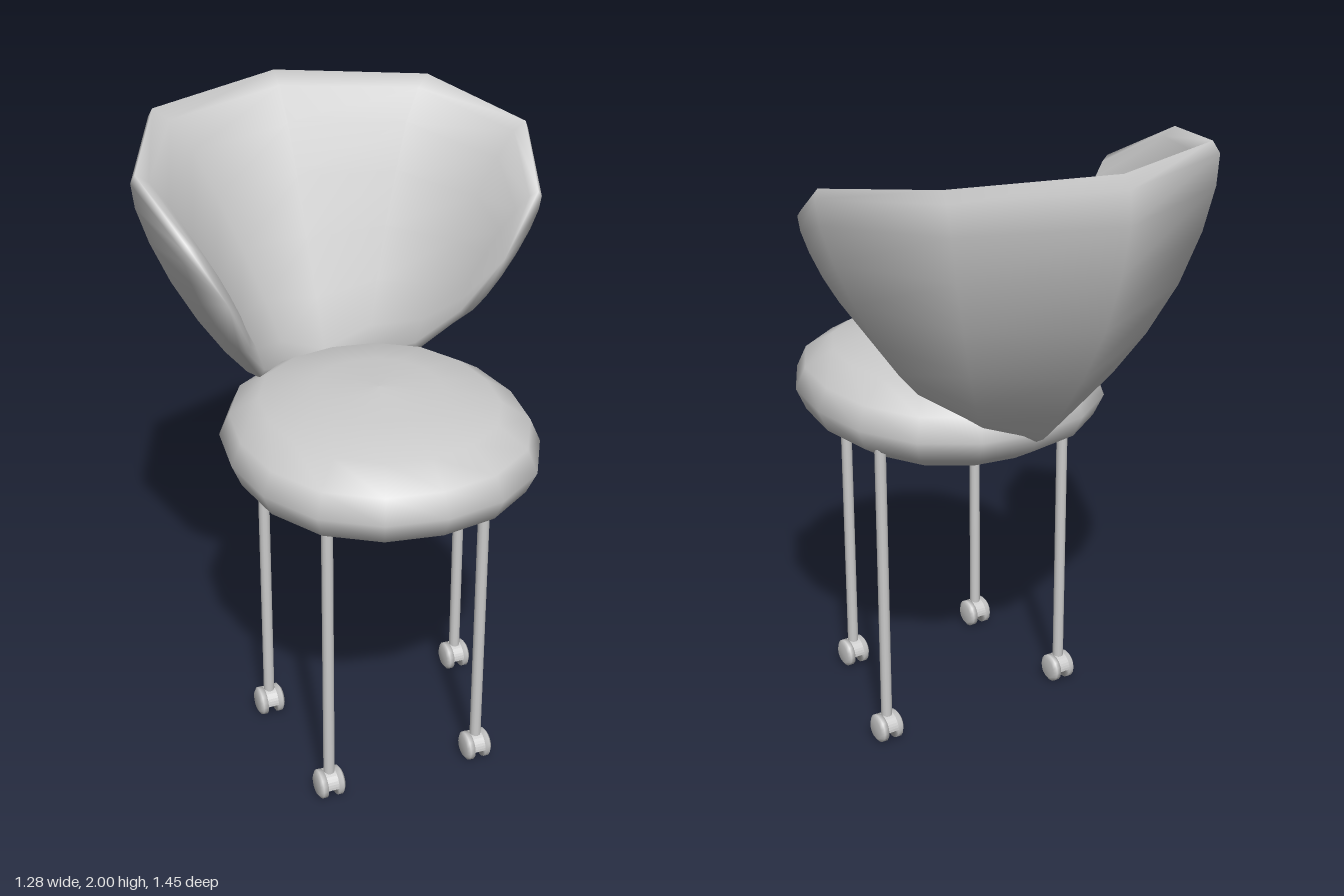
import * as THREE from 'three';
import { mergeVertices } from 'three/addons/utils/BufferGeometryUtils.js';

const material = new THREE.MeshStandardMaterial({ color: 0xcccccc });

function part(name, geometry, parent) {
  const mesh = new THREE.Mesh(geometry, material);
  mesh.name = name;
  parent.add(mesh);
  return mesh;
}

const toPoints = (pairs) => pairs.map(([x, y]) => new THREE.Vector2(x, y));

// Linear interpolation in rows of [y, value, ...]
function lookup(rows, y, column) {
  let i = 0;
  while (i < rows.length - 2 && y > rows[i + 1][0]) i++;
  const a = rows[i], b = rows[i + 1];
  return THREE.MathUtils.mapLinear(y, a[0], b[0], a[column], b[column]);
}

// Height, bend radius and spine z of the backrest
const BEND = [
  [1.06, 0.2, -0.28], [1.21, 0.27, -0.345], [1.38, 0.37, -0.44], [1.59, 0.48, -0.545],
  [1.79, 0.575, -0.62], [1.92, 0.63, -0.668], [2.0, 0.7, -0.69],
];

// Backrest columns from spine to wing tip: bend angle in degrees, top, bottom, padding
const COLUMNS = [
  [0, 2.0, 1.06, 0.115], [42, 1.985, 1.135, 0.1], [81, 1.925, 1.21, 0.07],
  [105.5, 1.79, 1.38, 0.05], [113, 1.59, 1.59, 0],
];

// A sphere with its poles at the wing tips; each meridian ring becomes a padded column
function backrestGeometry() {
  const geometry = new THREE.SphereGeometry(1, 16, 8).rotateZ(-Math.PI / 2);
  geometry.deleteAttribute('uv');
  geometry.deleteAttribute('normal');
  const pos = geometry.attributes.position;
  for (let i = 0; i < pos.count; i++) {
    const side = Math.asin(THREE.MathUtils.clamp(pos.getX(i), -1, 1));
    const [degrees, top, bottom, padding] = COLUMNS[Math.round(Math.abs(side) / (Math.PI / 8))];
    const ring = Math.hypot(pos.getY(i), pos.getZ(i)) || 1;
    const y = (top + bottom) / 2 + (top - bottom) / 2 * pos.getY(i) / ring;
    const angle = Math.sign(side) * THREE.MathUtils.degToRad(degrees);
    const radius = lookup(BEND, y, 1);
    const axisZ = lookup(BEND, y, 2) + radius;
    const r = radius - padding * pos.getZ(i) / ring;
    pos.setXYZ(i, r * Math.sin(angle), y, axisZ - r * Math.cos(angle));
  }
  const merged = mergeVertices(geometry, 1e-4);
  merged.computeVertexNormals();
  return merged;
}

// Oval cushion with flat faces, a rounded edge and slightly full corners
function seatGeometry() {
  const upper = [[1, 0], [0.935, 0.072], [0.75, 0.13], [0.41, 0.164], [0, 0.176]];
  const lower = upper.slice(1).reverse().map(([r, y]) => [r, -y]);
  const geometry = new THREE.LatheGeometry(toPoints([...lower, ...upper]), 16);
  const pos = geometry.attributes.position;
  for (let i = 0; i < pos.count; i++) {
    const x = pos.getX(i), z = pos.getZ(i);
    const full = 1 + 0.035 * Math.sin(2 * Math.atan2(x, z)) ** 2;
    pos.setXYZ(i, x * full, pos.getY(i), z * full);
  }
  return geometry.scale(0.475, 1, 0.517);
}

// Twin wheels: two rounded discs joined by a narrow hub, turned about x
function wheelGeometry() {
  const profile = toPoints([
    [0, -0.043], [0.034, -0.043], [0.047, -0.034], [0.047, -0.018], [0.025, -0.018],
    [0.025, 0.018], [0.047, 0.018], [0.047, 0.034], [0.034, 0.043], [0, 0.043],
  ]);
  return new THREE.LatheGeometry(profile, 16).rotateZ(Math.PI / 2);
}

// Half-round housing that fills the gap above the hub
function housingGeometry() {
  const shape = new THREE.Shape().absarc(0, 0, 0.046, 0, Math.PI);
  return new THREE.ExtrudeGeometry(shape, { depth: 0.04, bevelEnabled: false, curveSegments: 8 })
    .translate(0, 0, -0.02).rotateY(Math.PI / 2);
}

export function createModel() {
  const chair = new THREE.Group();
  chair.name = 'chair';

  part('seat', seatGeometry(), chair).position.set(0, 1.106, 0.2);
  part('backrest', backrestGeometry(), chair);

  // Legs with casters
  const tube = new THREE.CylinderGeometry(0.018, 0.018, 1.02, 12).translate(0, 0.56, 0);
  const wheels = wheelGeometry();
  const housing = housingGeometry();
  const legs = [
    ['frontLeftLeg', 0.238, 0.457], ['frontRightLeg', -0.272, 0.457],
    ['backLeftLeg', 0.384, -0.02], ['backRightLeg', -0.302, -0.02],
  ];
  for (const [name, x, z] of legs) {
    const leg = new THREE.Group();
    leg.name = name;
    leg.position.set(x, 0, z);
    part('legTube', tube, leg);
    part('casterWheels', wheels, leg).position.y = 0.047;
    part('casterHousing', housing, leg).position.y = 0.047;
    chair.add(leg);
  }
  return chair;
}
